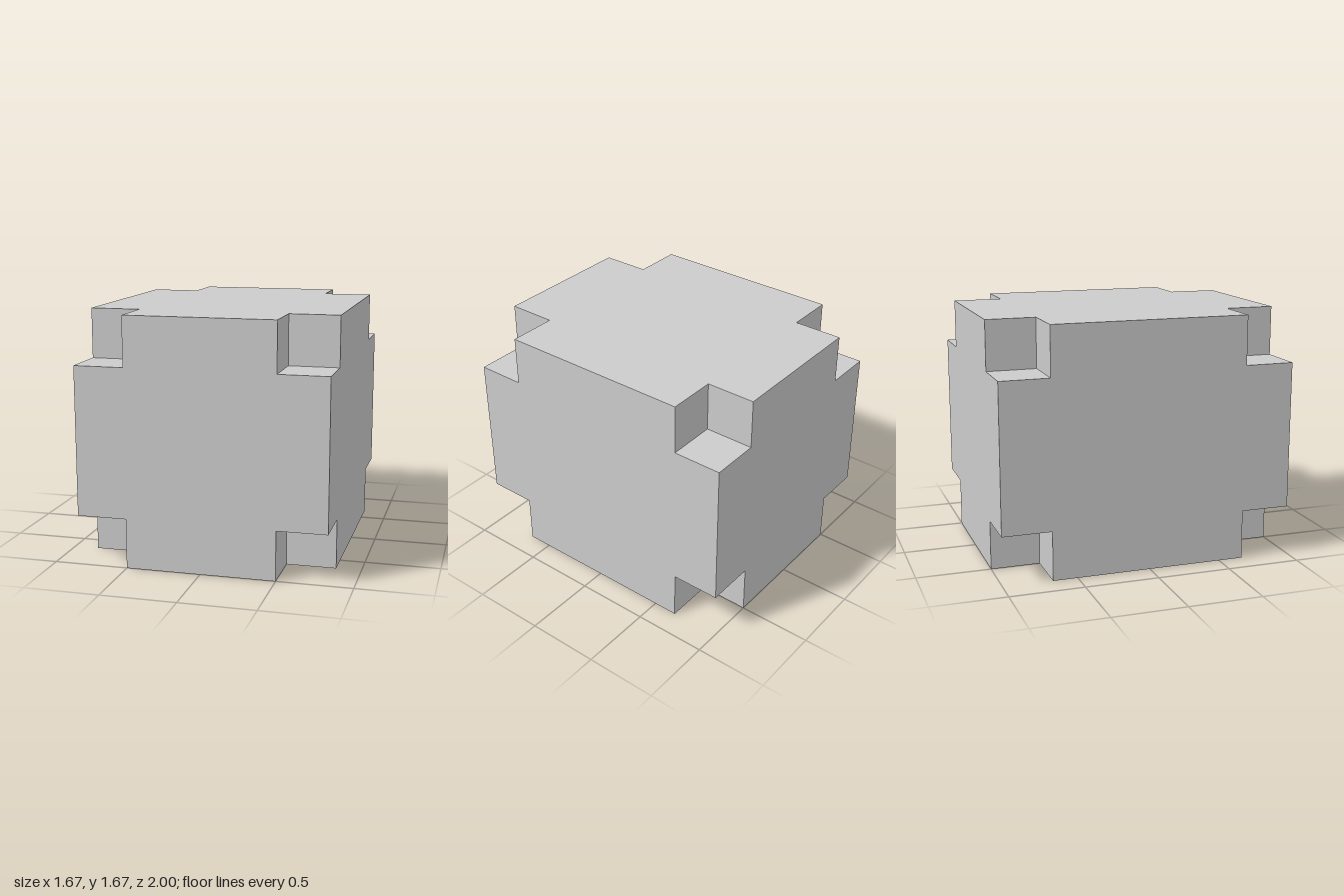
import * as THREE from 'three';
import { mergeGeometries } from 'three/addons/utils/BufferGeometryUtils.js';

const W = 5 / 3, H = 5 / 3, D = 2; // overall block size
const C = 1 / 3;                   // edge of the cube cut from each corner

// Rectangle with a square missing at each corner
function crossShape(w, h) {
  const x = w / 2, y = h / 2, s = new THREE.Shape();
  s.moveTo(-x + C, -y).lineTo(x - C, -y).lineTo(x - C, -y + C).lineTo(x, -y + C);
  s.lineTo(x, y - C).lineTo(x - C, y - C).lineTo(x - C, y).lineTo(-x + C, y);
  s.lineTo(-x + C, y - C).lineTo(-x, y - C).lineTo(-x, -y + C).lineTo(-x + C, -y + C);
  return s;
}

// One side facing +z: the outer cross plus its four recessed notch squares
function side(w, h, depth) {
  const parts = [new THREE.ShapeGeometry(crossShape(w, h)).translate(0, 0, depth / 2)];
  for (const sx of [-1, 1]) for (const sy of [-1, 1]) {
    parts.push(new THREE.PlaneGeometry(C, C)
      .translate(sx * (w - C) / 2, sy * (h - C) / 2, depth / 2 - C));
  }
  return mergeGeometries(parts);
}

export function createModel() {
  const group = new THREE.Group();
  const q = Math.PI / 2;
  const geometry = mergeGeometries([
    side(W, H, D),                 // front
    side(W, H, D).rotateY(2 * q),  // back
    side(D, H, W).rotateY(q),      // left
    side(D, H, W).rotateY(-q),     // right
    side(W, D, H).rotateX(-q),     // top
    side(W, D, H).rotateX(q),      // bottom
  ]);
  const block = new THREE.Mesh(geometry,
    new THREE.MeshStandardMaterial({ color: 0xcccccc, flatShading: true }));
  block.name = 'notchedBlock';
  block.position.y = H / 2;
  group.add(block);
  return group;
}
